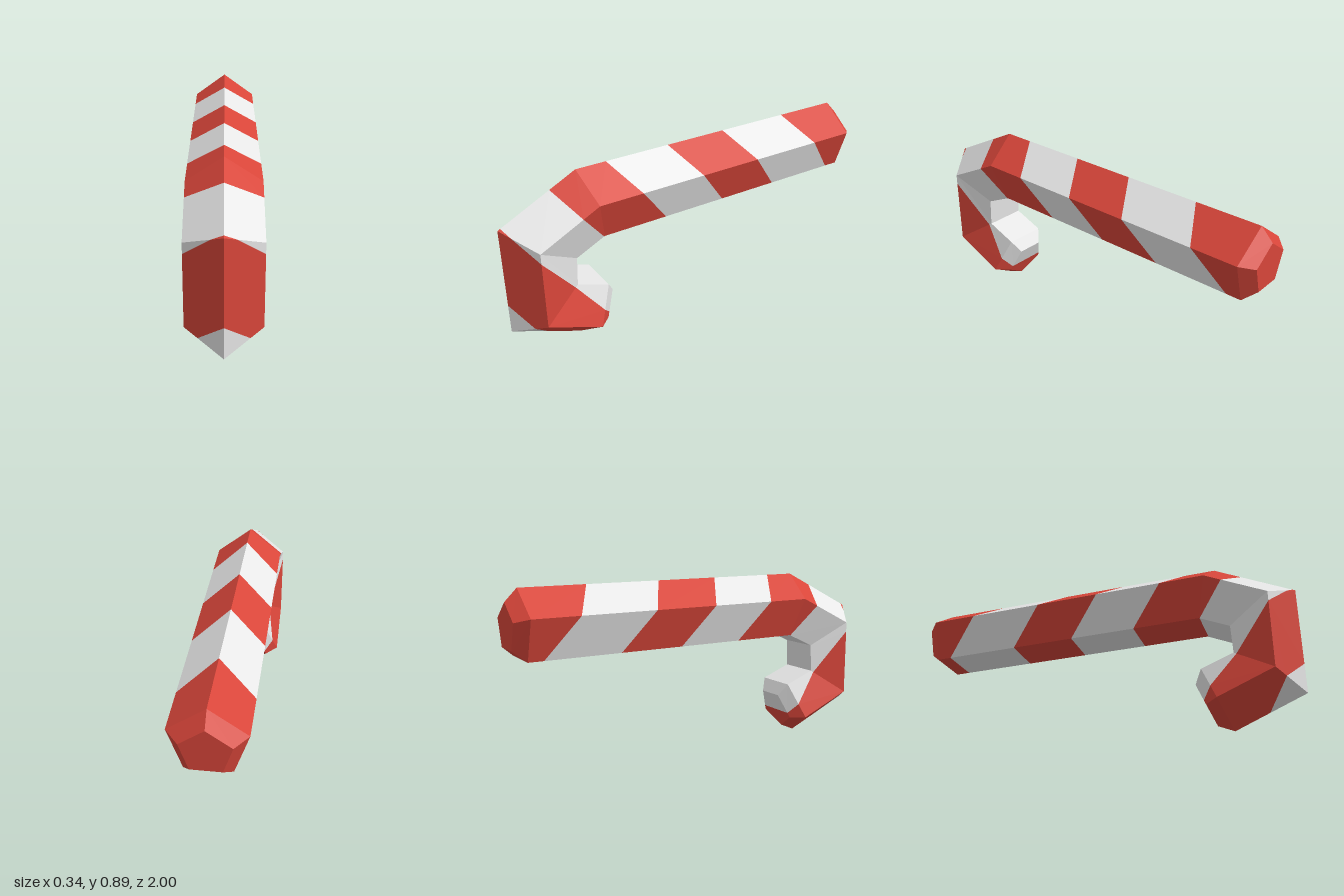
import * as THREE from 'three';

// Half widths of the pentagonal section at its outer ridge, side and inner corners
const SIDE = 0.171, INNER = 0.106;

// Stations along the cane: [z, y] of outer ridge, side corner, inner corner, then width scale
const STATIONS = [
  [[-1.0, 0.837], [-1.0, 0.756], [-1.0, 0.625], 0.65],
  [[-0.94, 0.898], [-0.94, 0.775], [-0.94, 0.575], 1],
  [[0.605, 0.898], [0.577, 0.775], [0.53, 0.575], 1],
  [[1.0, 0.702], [0.88, 0.626], [0.68, 0.505], 1],
  [[1.0, 0.15], [0.88, 0.23], [0.687, 0.36], 1],
  [[0.65, 0.003], [0.603, 0.117], [0.525, 0.3], 1],
  [[0.57, 0.038], [0.54, 0.112], [0.487, 0.236], 0.65],
];

// Slanted stripe boundaries, as values of z - 0.8 y
const BOUNDS = [-9, -1.325, -0.94, -0.61, -0.27, 0.075, 0.42, 0.76, 9];
const slant = (p) => p.z - 0.8 * p.y;

function ring([o, s, i, k]) {
  const at = (x, p) => new THREE.Vector3(x * k, p[1], p[0]);
  return [at(0, o), at(SIDE, s), at(INNER, i), at(-INNER, i), at(-SIDE, s)];
}

// Keep the part of a convex polygon where sign * (slant - bound) >= 0
function clip(poly, bound, sign) {
  const out = [];
  poly.forEach((p, n) => {
    const q = poly[(n + 1) % poly.length];
    const a = sign * (slant(p) - bound), b = sign * (slant(q) - bound);
    if (a >= 0) out.push(p);
    if (a * b < 0) out.push(p.clone().lerp(q, a / (a - b)));
  });
  return out;
}

function meshFrom(polys, material, name) {
  const points = [];
  for (const p of polys)
    for (let n = 1; n < p.length - 1; n++) points.push(p[0], p[n], p[n + 1]);
  const geometry = new THREE.BufferGeometry().setFromPoints(points);
  geometry.computeVertexNormals();
  const mesh = new THREE.Mesh(geometry, material);
  mesh.name = name;
  return mesh;
}

export function createModel() {
  const red = new THREE.MeshStandardMaterial({ color: 0xd9463a });
  red.name = 'red';
  const white = new THREE.MeshStandardMaterial({ color: 0xebebeb });
  white.name = 'white';

  // Hull faces: two end caps and five strips between neighbouring rings
  const rings = STATIONS.map(ring);
  const faces = [rings[0], [...rings[rings.length - 1]].reverse()];
  for (let r = 0; r < rings.length - 1; r++)
    for (let j = 0; j < 5; j++) {
      const k = (j + 1) % 5;
      faces.push([rings[r][j], rings[r + 1][j], rings[r + 1][k], rings[r][k]]);
    }

  // Slice the hull into alternating stripes, starting red at the straight end
  const group = new THREE.Group();
  group.name = 'candyCane';
  for (let b = 0; b < BOUNDS.length - 1; b++) {
    const polys = faces
      .map((f) => clip(clip(f, BOUNDS[b], 1), BOUNDS[b + 1], -1))
      .filter((f) => f.length > 2);
    const isRed = b % 2 === 0;
    group.add(meshFrom(polys, isRed ? red : white, (isRed ? 'redStripe' : 'whiteStripe') + (b + 1)));
  }
  return group;
}
